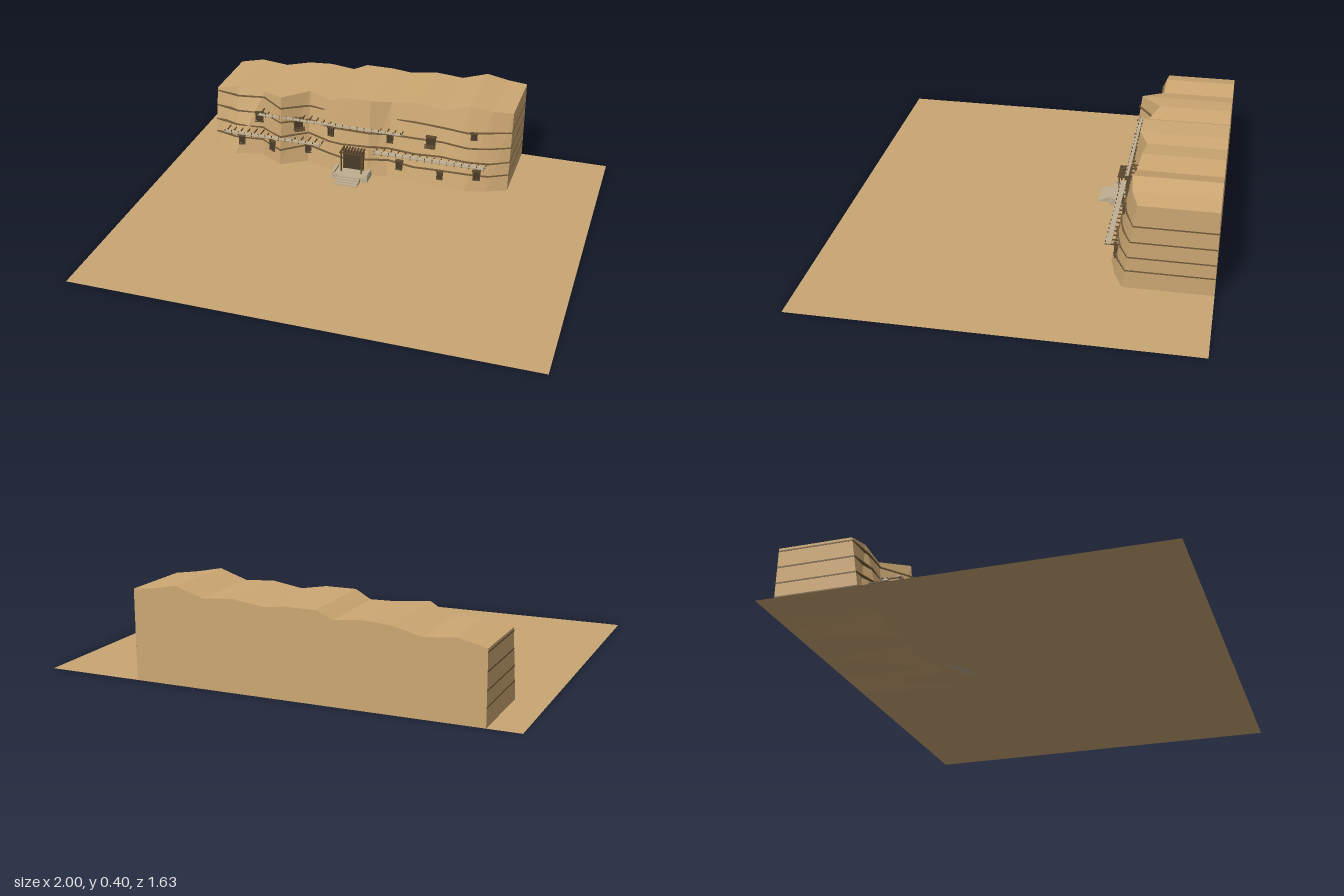
import * as THREE from 'three';

const mat = (name, color, side = THREE.FrontSide) => {
  const m = new THREE.MeshStandardMaterial({ color, side });
  m.name = name;
  return m;
};

// Cliff columns: x, top height, z of front foot, z of front brow
const COLS = [
  [-0.865, 0.295, -0.45, -0.5], [-0.75, 0.322, -0.405, -0.497], [-0.62, 0.31, -0.44, -0.497],
  [-0.5, 0.34, -0.367, -0.405], [-0.385, 0.348, -0.44, -0.497], [-0.27, 0.336, -0.402, -0.458],
  [-0.2, 0.367, -0.388, -0.44], [-0.07, 0.367, -0.388, -0.44], [0.02, 0.358, -0.412, -0.478],
  [0.15, 0.376, -0.395, -0.47], [0.28, 0.366, -0.39, -0.463], [0.4, 0.404, -0.385, -0.458],
  [0.5, 0.385, -0.41, -0.47], [0.59, 0.376, -0.45, -0.498],
];
const BACK = -0.817;

const columnZ = ([, top, foot, brow], y) => foot + (brow - foot) * Math.min(1, y / top);

// Depth of the cliff face at any x, y
function faceZ(x, y) {
  let i = 0;
  while (i < COLS.length - 2 && COLS[i + 1][0] < x) i++;
  const a = COLS[i], b = COLS[i + 1];
  return THREE.MathUtils.lerp(columnZ(a, y), columnZ(b, y), (x - a[0]) / (b[0] - a[0]));
}

// Joins closed cross-sections along x and caps both ends
function loft(sections) {
  const pos = [], n = sections[0].length, last = sections[sections.length - 1];
  const tri = (...p) => p.forEach(v => pos.push(...v));
  for (let i = 0; i < sections.length - 1; i++) {
    for (let k = 0; k < n; k++) {
      const a = sections[i], b = sections[i + 1], m = (k + 1) % n;
      tri(a[k], b[k], b[m]);
      tri(a[k], b[m], a[m]);
    }
  }
  for (let k = 1; k < n - 1; k++) {
    tri(sections[0][0], sections[0][k], sections[0][k + 1]);
    tri(last[0], last[k + 1], last[k]);
  }
  const g = new THREE.BufferGeometry();
  g.setAttribute('position', new THREE.Float32BufferAttribute(pos, 3));
  g.computeVertexNormals();
  return g;
}

export function createModel() {
  const model = new THREE.Group();
  model.name = 'cliffDwelling';
  const sand = mat('sand', 0xc8a573, THREE.DoubleSide);
  const rock = mat('sandstone', 0xcda873);
  const strata = mat('darkStrata', 0x755c3b);
  const stone = mat('paleStone', 0xbfae90);
  const timber = mat('timber', 0x5f4a30);
  const dark = mat('darkOpening', 0x4a3d2a);

  const add = (parent, name, geo, material, x = 0, y = 0, z = 0) => {
    const m = new THREE.Mesh(geo, material);
    m.name = name;
    m.position.set(x, y, z);
    parent.add(m);
    return m;
  };
  const box = (parent, name, material, w, h, d, x, y, z) =>
    add(parent, name, new THREE.BoxGeometry(w, h, d), material, x, y, z);
  const group = (name) => {
    const g = new THREE.Group();
    g.name = name;
    model.add(g);
    return g;
  };

  // Ground sheet
  add(model, 'ground', new THREE.PlaneGeometry(2, 1.634).rotateX(-Math.PI / 2), sand);

  // Cliff block with folded, leaning face
  add(model, 'cliff', loft(COLS.map(c => [
    [c[0], 0, BACK], [c[0], 0, c[2]], [c[0], c[1], c[3]], [c[0], c[1], BACK],
  ])), rock);

  // Thin rock layers showing on every side
  [[0.078, 0.003, false], [0.14, 0.003, false], [0.21, 0.003, false], [0.282, 0.003, true]]
    .forEach(([y, h, broken], b) => {
      const sections = COLS.map((c, i) => {
        const edge = i === 0 ? -1 : i === COLS.length - 1 ? 1 : 0;
        const yy = y + (edge ? 0 : 0.005 * Math.sin(i * 1.9 + b));
        const out = broken && i > 4 && i < 9 ? -0.003 : edge ? 0.002 : 0.007;
        const x = c[0] + edge * 0.001;
        const z = columnZ(c, yy) + out;
        return [[x, yy - h, BACK + 0.0005], [x, yy - h, z], [x, yy + h, z], [x, yy + h, BACK + 0.0005]];
      });
      add(model, 'rockLayer', loft(sections), strata);
    });

  // Windows: x, y, width, height, hasBalcony
  [
    [-0.72, 0.068, 0.028, 0.04], [-0.55, 0.076, 0.034, 0.048], [-0.385, 0.066, 0.028, 0.04],
    [-0.64, 0.186, 0.036, 0.046], [-0.43, 0.193, 0.04, 0.055, true], [-0.26, 0.186, 0.028, 0.04],
    [0.025, 0.188, 0.028, 0.042], [0.225, 0.206, 0.04, 0.05, true], [0.425, 0.264, 0.028, 0.03],
    [0.08, 0.068, 0.028, 0.042], [0.28, 0.056, 0.026, 0.036], [0.45, 0.08, 0.032, 0.044],
  ].forEach(([x, y, w, h, balcony]) => {
    const win = group('window');
    win.position.set(x, y, faceZ(x, y));
    win.rotation.y = Math.atan2(faceZ(x - 0.01, y) - faceZ(x + 0.01, y), 0.02);
    box(win, 'opening', dark, w, h, 0.016, 0, 0, 0);
    box(win, 'lintel', timber, w * 1.25, 0.006, 0.026, 0, h / 2 + 0.002, 0);
    box(win, 'sill', timber, w * 1.15, 0.005, 0.024, 0, -h / 2, 0);
    for (const s of [-1, 1]) box(win, 'jamb', timber, 0.003, h, 0.02, s * w / 2, 0, 0);
    if (balcony) {
      box(win, 'balconyFloor', timber, w * 1.2, 0.004, 0.05, 0, -h / 2 + 0.004, 0.005);
      box(win, 'balconyRail', timber, w * 1.2, 0.003, 0.003, 0, -h / 2 + 0.022, 0.028);
      for (let i = -2; i <= 2; i++)
        box(win, 'baluster', timber, 0.002, 0.018, 0.002, i * w * 0.28, -h / 2 + 0.013, 0.028);
    }
  });

  // Ledge walkways with small posts: x start, x end, y, z back, z front
  [[-0.79, -0.3, 0.129, -0.395, -0.374], [-0.62, 0.09, 0.234, -0.412, -0.396],
    [-0.035, 0.495, 0.138, -0.392, -0.365]].forEach(([x0, x1, y, z0, z1]) => {
    const walk = group('walkway');
    box(walk, 'deck', stone, x1 - x0, 0.006, z1 - z0, (x0 + x1) / 2, y, (z0 + z1) / 2);
    const n = Math.round((x1 - x0) / 0.035);
    for (let i = 0; i <= n; i++) {
      const x = x0 + 0.004 + (x1 - x0 - 0.008) * i / n;
      box(walk, 'post', timber, 0.003, 0.01, 0.003, x, y + 0.006, z1 - 0.004);
      // Joist running back into the rock
      const back = faceZ(x, y) - 0.01;
      if (back < z1) box(walk, 'joist', timber, 0.004, 0.005, z1 - back, x, y - 0.005, (z1 + back) / 2);
    }
  });

  // Entrance: porch, steps, doorway and beam canopy
  const entry = group('entrance');
  const ex = -0.138;
  box(entry, 'porch', stone, 0.175, 0.024, 0.08, ex, 0.012, -0.36);
  for (let i = 0; i < 4; i++) {
    const d = 0.058 - i * 0.014;
    box(entry, 'step', stone, 0.11, 0.006, d, ex, 0.003 + i * 0.006, -0.322 + d / 2);
  }
  box(entry, 'doorway', dark, 0.085, 0.09, 0.03, ex, 0.068, -0.402);
  for (const s of [-1, 1]) {
    box(entry, 'doorJamb', timber, 0.008, 0.095, 0.036, ex + s * 0.046, 0.07, -0.402);
    box(entry, 'canopyPost', timber, 0.006, 0.1, 0.006, ex + s * 0.05, 0.073, -0.354);
    box(entry, 'porchWall', stone, 0.012, 0.012, 0.07, ex + s * 0.08, 0.029, -0.36);
  }
  for (const z of [-0.354, -0.382])
    box(entry, 'crossBeam', timber, 0.118, 0.006, 0.006, ex, 0.123, z);
  for (let i = 0; i < 8; i++)
    box(entry, 'roofBeam', timber, 0.007, 0.007, 0.06, ex - 0.05 + i * 0.0143, 0.129, -0.377);

  return model;
}
